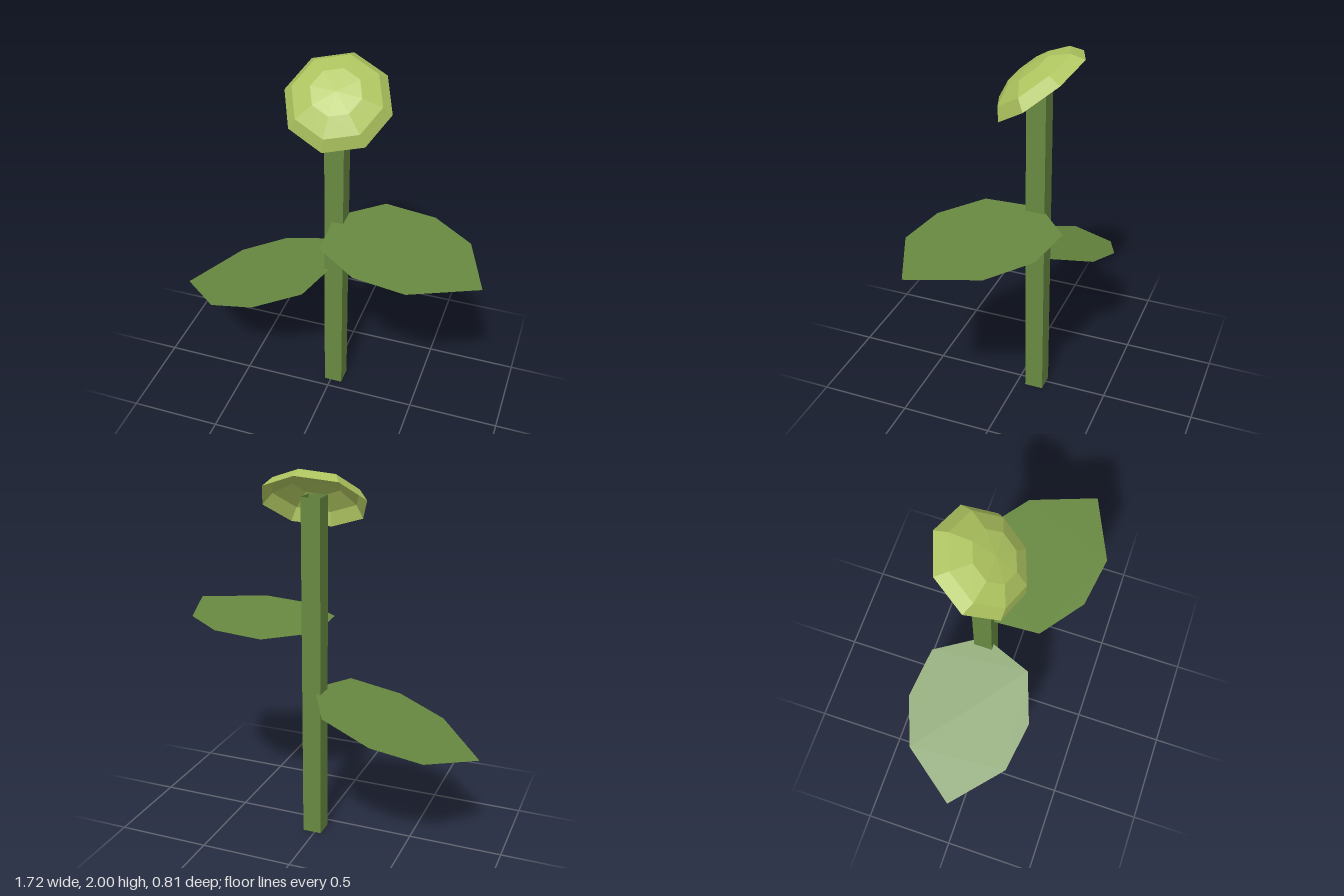
import * as THREE from 'three';

// Flat pointed leaf, symmetric about its midrib, growing along +x from the origin
function leafGeometry() {
  const side = [[0.13, 0.27], [0.407, 0.339], [0.678, 0.271]];
  const shape = new THREE.Shape();
  shape.moveTo(0, 0);
  side.forEach(([u, w]) => shape.lineTo(u, -w));
  shape.lineTo(0.93, 0);
  [...side].reverse().forEach(([u, w]) => shape.lineTo(u, w));
  shape.closePath();
  return new THREE.ShapeGeometry(shape).rotateX(-Math.PI / 2);
}

export function createModel() {
  const group = new THREE.Group();
  const material = (name, color) => {
    const m = new THREE.MeshStandardMaterial({ color, flatShading: true, side: THREE.DoubleSide });
    m.name = name;
    return m;
  };
  const green = material('leafGreen', 0x688940);
  const lime = material('limeGreen', 0xaec45f);

  const add = (name, geometry, mat, x, y, z) => {
    const mesh = new THREE.Mesh(geometry, mat);
    mesh.name = name;
    mesh.position.set(x, y, z);
    group.add(mesh);
    return mesh;
  };

  // Square hollow stem, open at both ends
  const height = 1.85;
  const stem = new THREE.CylinderGeometry(0.0725, 0.0725, height, 4, 1, true).rotateY(Math.PI / 4);
  add('stem', stem, green, 0.015, height / 2, -0.102);

  // One level leaf and one drooping leaf
  add('upperLeaf', leafGeometry().rotateY(-0.394), green, 0.003, 1.145, -0.108);
  add('lowerLeaf', leafGeometry().rotateY(Math.PI + 0.086).rotateZ(0.328), green, 0.015, 0.839, -0.108);

  // Shallow eight-sided dome, tipped forward
  const profile = [[0.275, 0], [0.23, 0.061], [0.13, 0.108], [0, 0.118]]
    .map(([r, h]) => new THREE.Vector2(r, h));
  const head = add('flowerHead', new THREE.LatheGeometry(profile, 8), lime, 0.015, 1.818, -0.11);
  head.quaternion.setFromUnitVectors(
    new THREE.Vector3(0, 1, 0), new THREE.Vector3(0.127, 1, 0.75).normalize());

  return group;
}
